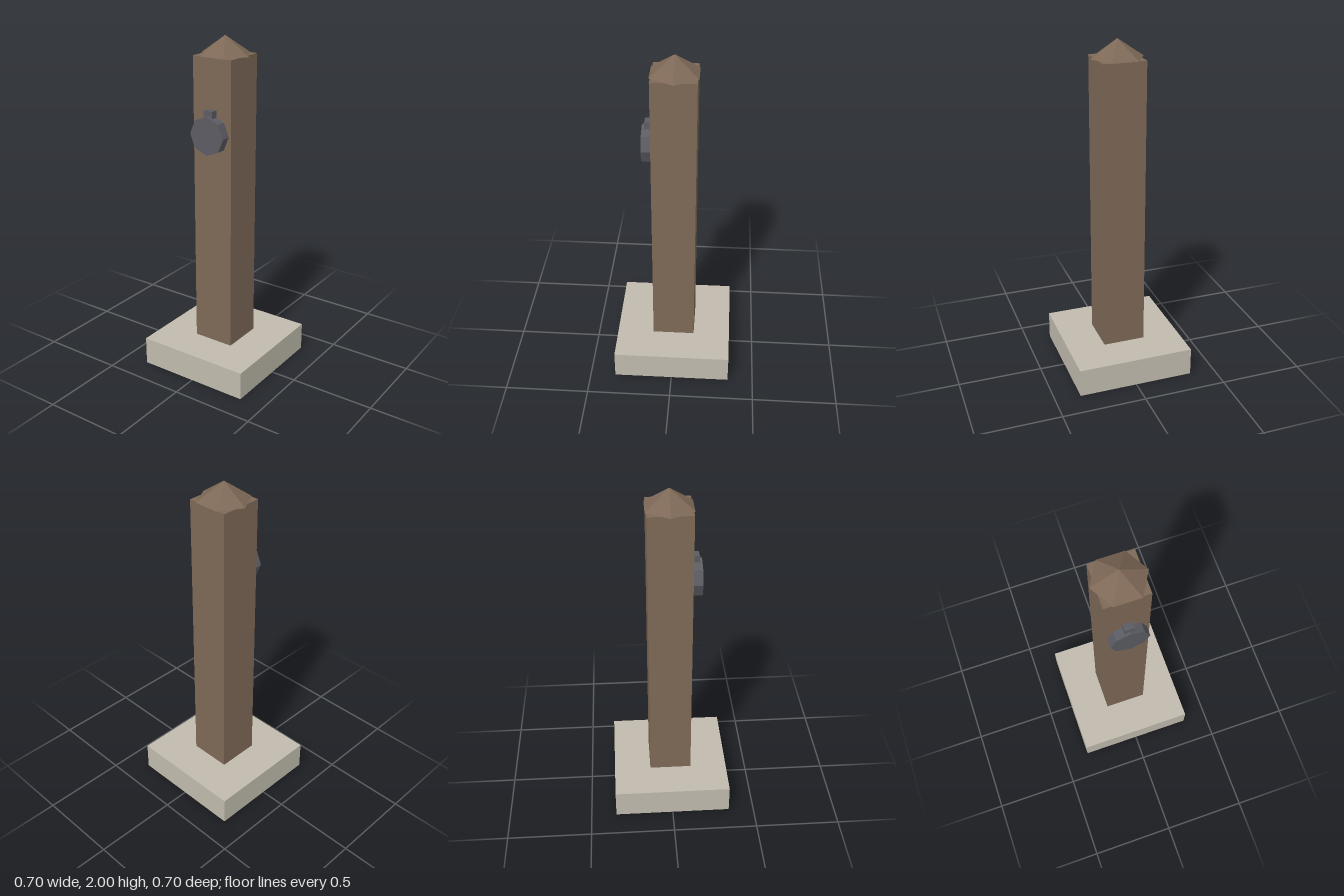
import * as THREE from 'three';

const material = (name, color) => {
  const m = new THREE.MeshStandardMaterial({ color, flatShading: true });
  m.name = name;
  return m;
};

export function createModel() {
  const model = new THREE.Group();
  model.name = 'markerPost';

  const stone = material('paleStone', 0xc0bbad);
  const wood = material('brownWood', 0x7e6957);
  const metal = material('greyMetal', 0x5b5b63);

  const add = (name, geometry, mat, x, y, z) => {
    const mesh = new THREE.Mesh(geometry, mat);
    mesh.name = name;
    mesh.position.set(x, y, z);
    model.add(mesh);
    return mesh;
  };

  // Square plinth and post
  add('base', new THREE.BoxGeometry(0.696, 0.17, 0.696), stone, 0, 0.085, 0);
  add('post', new THREE.BoxGeometry(0.252, 1.725, 0.252), wood, 0, 1.0325, 0);

  // Six-sided pointed cap with corners on the left and right
  add('cap', new THREE.ConeGeometry(0.153, 0.105, 6, 1, false, Math.PI / 2), wood, 0, 1.9475, 0);

  // Eight-sided disc on the front, with a small lug on top
  const disc = new THREE.CylinderGeometry(0.111, 0.111, 0.061, 8).rotateX(Math.PI / 2);
  add('disc', disc, metal, 0, 1.47, 0.1505);
  add('lug', new THREE.BoxGeometry(0.056, 0.056, 0.056), metal, 0, 1.582, 0.138);

  return model;
}
